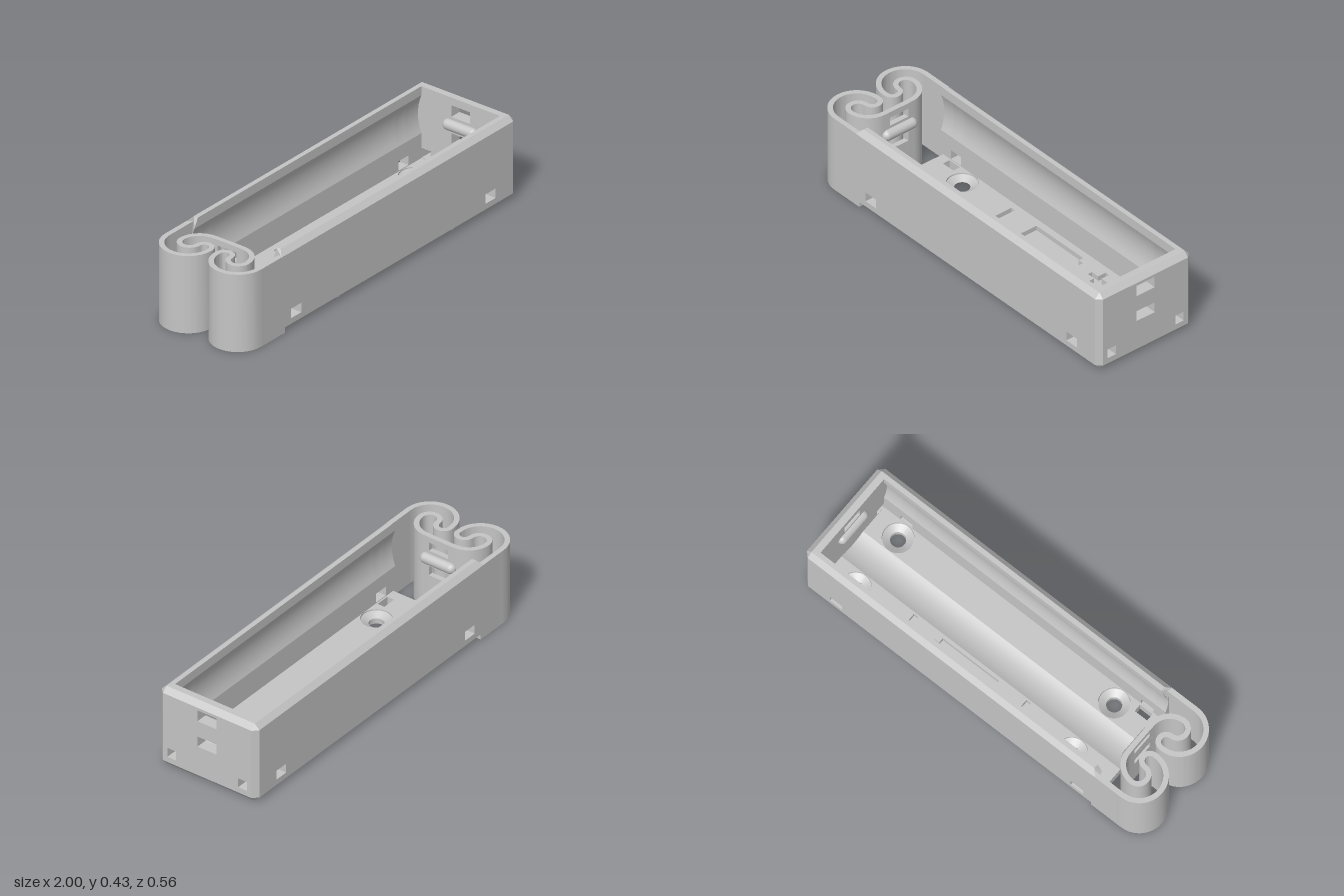
import * as THREE from 'three';
import { toCreasedNormals } from 'three/addons/utils/BufferGeometryUtils.js';

const plastic = new THREE.MeshStandardMaterial({ color: 0xc5c5c5 });
plastic.name = 'grey plastic';

const WALL = 0.28, CH = 0.026, BASE = 0.028, FLOOR = 0.053, TOP = 0.425;
const END_IN = 0.94, LEFT = -0.7, LIP = 0.23, STRIP = 0.078;
const CELL_R = 0.25, CELL_Y = 0.28;
const SCREWS = [-0.475, 0.796], SCREW_Z = 0.154;
const SIDE_HOLES = [[-0.645, -0.572], [0.772, 0.845]], HOLE_Y = [0.057, 0.106];

const poly = (pts) => new THREE.Shape(pts.map(([x, y]) => new THREE.Vector2(x, y)));
const rect = (x0, x1, y0, y1) => poly([[x0, y0], [x1, y0], [x1, y1], [x0, y1]]);
const circle = (x, y, r) => new THREE.Path().absarc(x, y, r, 0, Math.PI * 2, true);
const wireHole = (s) => rect(...SIDE_HOLES[0], s * 0.2025 - 0.0195, s * 0.2025 + 0.0195);

// Extrude a plan shape (x, z) between two heights
function slab(shape, y0, y1) {
  const g = new THREE.ExtrudeGeometry(shape, { depth: y1 - y0, bevelEnabled: false, curveSegments: 24 });
  return g.rotateX(Math.PI / 2).translate(0, y1, 0);
}

// Extrude a section (-z, y) between two x positions
function bar(shape, x0, x1) {
  const g = new THREE.ExtrudeGeometry(shape, { depth: x1 - x0, bevelEnabled: false });
  return g.rotateY(Math.PI / 2).translate(x0, 0, 0);
}

// Move vertices by a rule and refresh the normals
function reshape(g, rule) {
  const p = g.attributes.position, v = new THREE.Vector3();
  for (let i = 0; i < p.count; i++) {
    rule(v.fromBufferAttribute(p, i));
    p.setXYZ(i, v.x, v.y, v.z);
  }
  g.computeVertexNormals();
  return g;
}

// Side wall section; the inner face is hollowed by the round cell
function wallSection(side, y0, y1) {
  const pts = [[WALL, y0]];
  if (y1 >= TOP) pts.push([WALL, TOP - CH], [WALL - CH, TOP]);
  else pts.push([WALL, y1]);
  pts.push([LIP, y1]);
  for (let i = 8; i >= 0; i--) {
    const y = CELL_Y + 0.098 * (i / 4 - 1);
    if (y > y0 && y < y1) pts.push([Math.sqrt(CELL_R ** 2 - (y - CELL_Y) ** 2), y]);
  }
  pts.push([LIP, y0]);
  return poly(pts.map(([z, y]) => [-side * z, y]));
}

// Points along an arc in plan, angles in degrees
function arc(cx, cz, r, from, to, n = 10) {
  return Array.from({ length: n }, (_, i) => {
    const a = THREE.MathUtils.degToRad(from + (to - from) * (i + 1) / n);
    return [cx + r * Math.cos(a), cz + r * Math.sin(a)];
  });
}

// Thin strip following a plan curve
function ribbon(points, half) {
  const curve = new THREE.CatmullRomCurve3(points.map(([x, z]) => new THREE.Vector3(x, z, 0)), false, 'centripetal');
  const n = 120, a = [], b = [];
  for (let i = 0; i <= n; i++) {
    const p = curve.getPointAt(i / n), t = curve.getTangentAt(i / n);
    a.push([p.x - t.y * half, p.y + t.x * half]);
    b.unshift([p.x + t.y * half, p.y - t.x * half]);
  }
  return poly([...a, ...b]);
}

export function createModel() {
  const model = new THREE.Group();
  const add = (name, geometry, parent = model) => {
    const m = new THREE.Mesh(geometry, plastic);
    m.name = name;
    parent.add(m);
    return m;
  };

  // Base pads, divided by wire grooves and chamfered underneath
  const base = new THREE.Group();
  base.name = 'base';
  model.add(base);
  const g = 0.015, w = 0.03;
  const spans = [[LEFT, -0.305, 0, 1], [-0.305, 0.528, 1, 1], [0.528, 1, 1, 0]];
  for (const [a, b, grooveA, grooveB] of spans) {
    for (const s of [-1, 1]) {
      const x0 = a + grooveA * g, x1 = b - grooveB * g;
      const corner = b === 1 ? [[1, s * (WALL - CH)], [1 - CH, s * WALL]] : [[x1, s * WALL]];
      const shape = poly([[x0, s * 0.01], [x1, s * 0.01], ...corner, [x0, s * WALL]]);
      for (const x of SCREWS) if (x > x0 && x < x1) shape.holes.push(circle(x, s * SCREW_Z, 0.037));
      if (a === LEFT) shape.holes.push(wireHole(s));
      const lo = a + grooveA * w, hi = b === 1 ? 1 - CH : b - grooveB * w;
      add('basePad', reshape(slab(shape, 0, BASE), (v) => {
        if (v.y > 0.01) return;
        v.x = THREE.MathUtils.clamp(v.x, lo, hi);
        v.z = s * THREE.MathUtils.clamp(Math.abs(v.z), 0.022, WALL - CH);
      }), base);
    }
  }

  // Floor: two flat sides, the back one pierced by polarity marks
  const c = 0.012, r = 0.057;
  for (const s of [-1, 1]) {
    const side = rect(LEFT, END_IN + 0.01, Math.min(s * STRIP, s * 0.235), Math.max(s * STRIP, s * 0.235));
    for (const x of SCREWS) side.holes.push(circle(x, s * SCREW_Z, 0.075));
    side.holes.push(wireHole(s));
    if (s < 0) {
      side.holes.push(rect(-0.18, -0.155, -0.197, -0.087));
      side.holes.push(poly([[0, -0.195], [0.33, -0.195], [0.33, -0.168], [0.36, -0.168], [0.36, -0.122],
        [0.33, -0.122], [0.33, -0.095], [0, -0.095]]));
      side.holes.push(poly([[-c, -r], [c, -r], [c, -c], [r, -c], [r, c], [c, c], [c, r], [-c, r],
        [-c, c], [-r, c], [-r, -c], [-c, -c]].map(([x, z]) => [x + 0.495, z - 0.143])));
    }
    add(s > 0 ? 'frontFloor' : 'backFloor', slab(side, BASE, FLOOR));
  }

  // Shallow trough along the middle of the floor
  const dip = [[-STRIP, BASE], [STRIP, BASE]];
  for (let i = 6; i >= -6; i--) dip.push([STRIP * i / 6, 0.035 + (FLOOR - 0.035) * (i / 6) ** 2]);
  add('floorTrough', toCreasedNormals(bar(poly(dip), LEFT, END_IN + 0.01), 0.3));

  // Countersinks, turned to face inward
  for (const x of SCREWS) for (const s of [-1, 1]) {
    const cone = new THREE.CylinderGeometry(0.073, 0.037, 0.02, 32, 1, true).scale(-1, 1, 1);
    cone.computeVertexNormals();
    add('countersink', cone).position.set(x, BASE + 0.01, s * SCREW_Z);
  }

  // Side walls with wire windows
  const start = LEFT - 0.015;
  for (const s of [-1, 1]) {
    const wall = new THREE.Group();
    wall.name = s > 0 ? 'frontWall' : 'backWall';
    model.add(wall);
    const xs = [start, ...SIDE_HOLES.flat(), END_IN];
    for (let i = 0; i < xs.length - 1; i++) {
      const pieces = i % 2 ? [[BASE, HOLE_Y[0]], [HOLE_Y[1], TOP]] : [[BASE, TOP]];
      for (const [y0, y1] of pieces) {
        const geo = reshape(bar(wallSection(s, y0, y1), xs[i], xs[i + 1]), (v) => {
          if (v.x < start + 0.001 && v.y > 0.41) v.x += 0.025;
        });
        add('wallPiece', toCreasedNormals(geo, 0.3), wall);
      }
    }
  }

  // End wall with contact slots, wire holes and chamfered rim
  const end = poly([[-WALL, BASE], [WALL, BASE], [WALL, TOP - CH], [WALL - CH, TOP], [CH - WALL, TOP], [-WALL, TOP - CH]]);
  for (const [y0, y1] of [[0.185, 0.24], [0.325, 0.385]]) end.holes.push(rect(-0.055, 0.055, y0, y1));
  for (const s of [-1, 1]) end.holes.push(rect(s * 0.203 - 0.025, s * 0.203 + 0.025, ...HOLE_Y));
  add('endWall', bar(end, END_IN, 1 - CH));
  add('endWallFace', reshape(bar(end, 1 - CH, 1), (v) => {
    if (v.x < 0.99) return;
    v.y = Math.min(v.y, TOP - CH);
    v.z = THREE.MathUtils.clamp(v.z, CH - WALL, WALL - CH);
  }));

  // Folded spring strips, mirrored front to back
  const path = [[-0.69, 0.267], [-0.78, 0.267], [-0.84, 0.267], [-0.866, 0.267],
    ...arc(-0.866, 0.145, 0.122, 90, 270),
    ...arc(-0.858, 0.0595, 0.0365, 270, 450),
    ...arc(-0.858, 0.143, 0.047, 270, 90),
    ...arc(-0.858, 0.085, 0.105, 90, 0),
    [-0.752, 0.06]];
  for (const s of [-1, 1]) {
    const strip = ribbon(path.map(([x, z]) => [x, s * z]), 0.0128);
    add(s > 0 ? 'frontSpring' : 'backSpring', toCreasedNormals(slab(strip, 0, 0.4), 0.6));
  }

  // Slotted contact plate joining the springs, notched for the groove
  const plate = poly([[-0.061, 0], [-0.022, 0], [-0.012, BASE], [0.012, BASE], [0.022, 0], [0.061, 0],
    [0.061, 0.4], [-0.061, 0.4]]);
  for (const [y0, y1] of [[0.19, 0.24], [0.325, 0.37]]) plate.holes.push(rect(-0.055, 0.055, y0, y1));
  add('springPlate', bar(plate, -0.7648, -0.7392));

  // Rounded ridges between the slots that press the contacts
  for (const x of [-0.738, END_IN]) {
    const ridge = new THREE.CapsuleGeometry(0.028, 0.144, 6, 20).rotateX(Math.PI / 2);
    add('contactRidge', ridge).position.set(x, 0.2825, 0);
  }
  return model;
}
